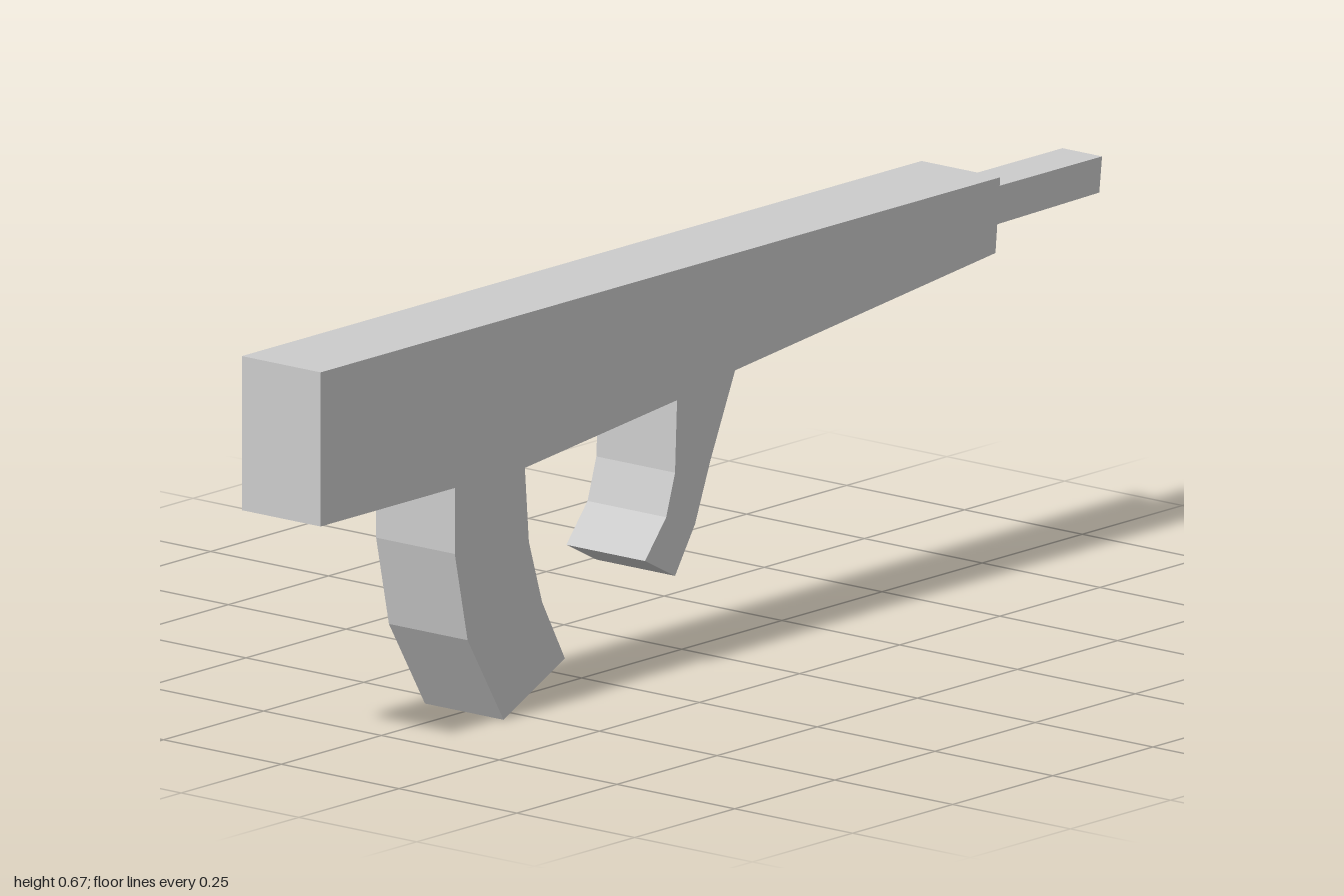
import * as THREE from 'three';

const material = new THREE.MeshStandardMaterial({ color: 0xcccccc, flatShading: true });

// Flat side outline extruded symmetrically about z = 0
function slab(name, points, width) {
  const shape = new THREE.Shape(points.map(([x, y]) => new THREE.Vector2(x, y)));
  const geometry = new THREE.ExtrudeGeometry(shape, { depth: width, bevelEnabled: false });
  geometry.translate(0, 0, -width / 2);
  const mesh = new THREE.Mesh(geometry, material);
  mesh.name = name;
  return mesh;
}

export function createModel() {
  const group = new THREE.Group();
  group.name = 'model';

  // Body with rear grip and front grip in one continuous outline
  const rearGrip = [
    [-0.665, 0.41], [-0.665, 0.3], [-0.633, 0.15], [-0.543, 0],
    [-0.39, 0.073], [-0.447, 0.178], [-0.48, 0.285], [-0.49, 0.41],
  ];
  const frontGrip = [
    [-0.11, 0.45], [-0.115, 0.33], [-0.137, 0.26], [-0.19, 0.197],
    [-0.115, 0.158], [-0.065, 0.235], [-0.027, 0.333], [0.035, 0.472],
  ];
  group.add(slab('bodyWithGrips', [
    [-1, 0.667], [-1, 0.41],
    ...rearGrip,
    ...frontGrip,
    [0.685, 0.543], [0.697, 0.667],
  ], 0.167));

  // Narrow square barrel, slightly tapered underneath
  group.add(slab('barrel', [
    [0.68, 0.573], [0.993, 0.578], [1, 0.637], [0.68, 0.637],
  ], 0.084));

  return group;
}
